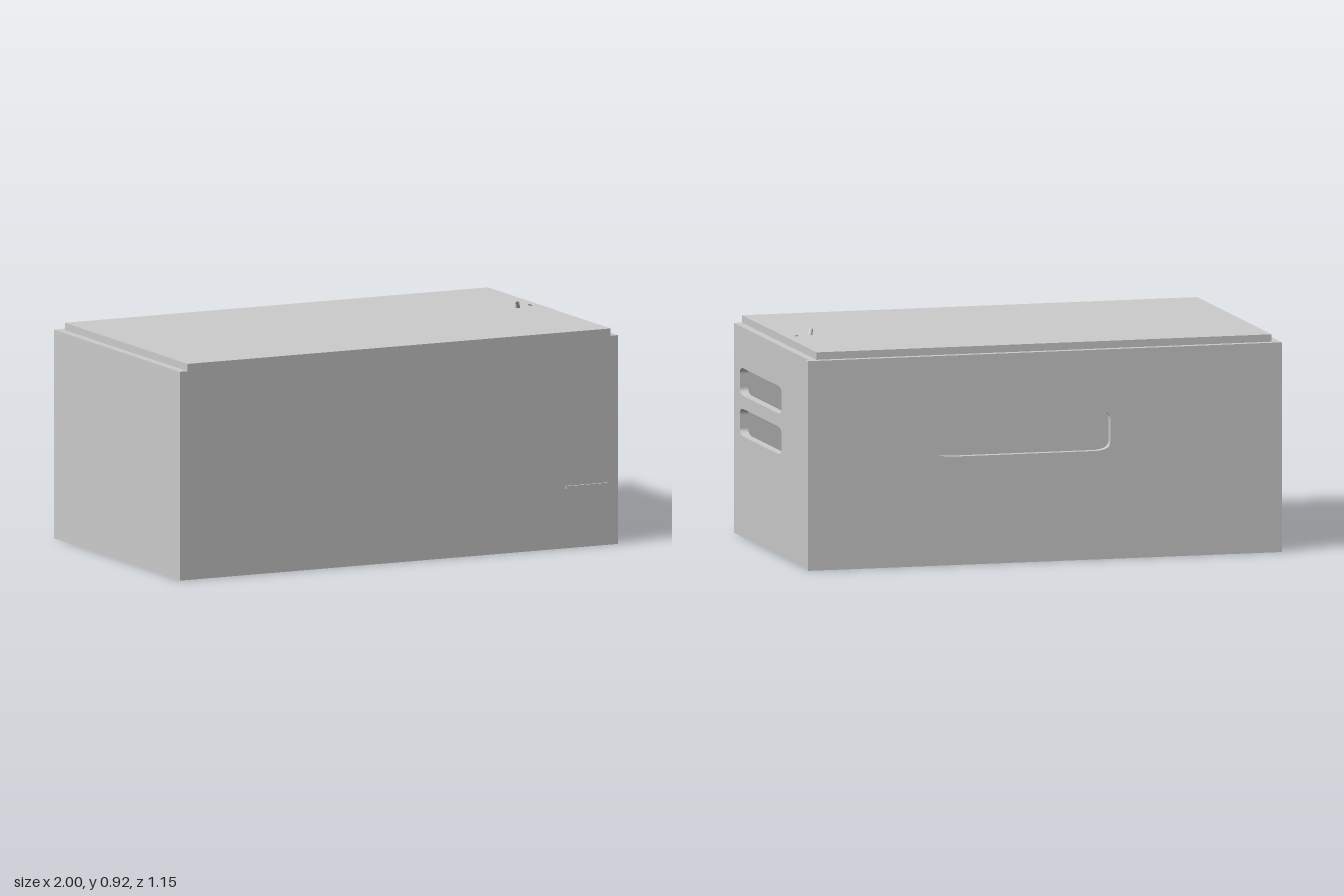
import * as THREE from 'three';

const material = new THREE.MeshStandardMaterial({ color: 0xcccccc, side: THREE.DoubleSide });

function add(group, name, geometry, x = 0, y = 0, z = 0) {
  const mesh = new THREE.Mesh(geometry, material);
  mesh.name = name;
  mesh.position.set(x, y, z);
  group.add(mesh);
  return mesh;
}

// Box given by its lower and upper corners
function slab(group, name, [x0, y0, z0], [x1, y1, z1]) {
  return add(group, name, new THREE.BoxGeometry(x1 - x0, y1 - y0, z1 - z0),
    (x0 + x1) / 2, (y0 + y1) / 2, (z0 + z1) / 2);
}

// Rectangle, with corners softened by rx along and ry up
function outline(target, x0, y0, x1, y1, rx = 0, ry = 0) {
  target.moveTo(x0 + rx, y0);
  target.lineTo(x1 - rx, y0);
  if (rx) target.quadraticCurveTo(x1, y0, x1, y0 + ry);
  target.lineTo(x1, y1 - ry);
  if (rx) target.quadraticCurveTo(x1, y1, x1 - rx, y1);
  target.lineTo(x0 + rx, y1);
  if (rx) target.quadraticCurveTo(x0, y1, x0, y1 - ry);
  target.lineTo(x0, y0 + ry);
  if (rx) target.quadraticCurveTo(x0, y0, x0 + rx, y0);
  return target;
}

// Flat panel with rounded openings
function cutPanel(rect, openings, depth) {
  const shape = outline(new THREE.Shape(), ...rect);
  for (const o of openings) shape.holes.push(outline(new THREE.Path(), ...o));
  return new THREE.ExtrudeGeometry(shape, { depth, bevelEnabled: false, curveSegments: 8 });
}

function cable(group, name, points, radius) {
  const path = new THREE.CatmullRomCurve3(points.map((p) => new THREE.Vector3(...p)));
  add(group, name, new THREE.TubeGeometry(path, 40, radius, 8));
}

export function createModel() {
  const model = new THREE.Group();
  model.name = 'case';

  // Plain panels
  slab(model, 'bottomPanel', [-0.965, 0.004, -0.545], [0.955, 0.034, 0.54]);
  slab(model, 'frontPanel', [-0.965, 0, 0.54], [0.955, 0.86, 0.57]);
  slab(model, 'leftEndPanel', [-1, 0, -0.545], [-0.965, 0.86, 0.57]);
  slab(model, 'lid', [-0.965, 0.855, -0.543], [0.955, 0.89, 0.57]);

  // End panel with two long slots
  const slots = [0.413, 0.58].map((y) => [-0.145, y, 0.48, y + 0.113, 0.06, 0.028]);
  const end = add(model, 'slottedEndPanel',
    cutPanel([-0.543, 0, 0.57, 0.86], slots, 0.035), 0.99);
  end.rotation.y = -Math.PI / 2;

  // Back panel with hand opening
  add(model, 'backPanel',
    cutPanel([-1, 0, 1, 0.86], [[-0.275, 0.445, 0.465, 0.61, 0.07, 0.035]], 0.03), 0, 0, -0.575);

  // Thin shelf whose edge comes through the front
  slab(model, 'shelf', [0.75, 0.245, 0.2], [0.94, 0.257, 0.578]);

  // Upright tank and pipes inside
  add(model, 'tank', new THREE.CylinderGeometry(0.13, 0.13, 0.49, 48), 0.71, 0.279, 0.07);
  add(model, 'pipe', new THREE.CylinderGeometry(0.022, 0.022, 0.82, 24), 0.86, 0.444, 0.073);
  slab(model, 'bracket', [0.8, 0.034, -0.02], [0.84, 0.8, 0.02]);

  // Cables whose ends come through the lid
  cable(model, 'frontCable', [[0.835, 0.912, -0.035], [0.85, 0.87, -0.055], [0.87, 0.76, -0.02],
    [0.88, 0.69, -0.005], [0.88, 0.64, -0.03], [0.88, 0.58, -0.065], [0.88, 0.41, -0.115],
    [0.82, 0.15, -0.13]], 0.009);
  cable(model, 'rearCable', [[0.91, 0.894, -0.07], [0.91, 0.69, -0.1], [0.91, 0.58, -0.12],
    [0.9, 0.47, -0.135], [0.86, 0.12, -0.2]], 0.009);

  return model;
}
